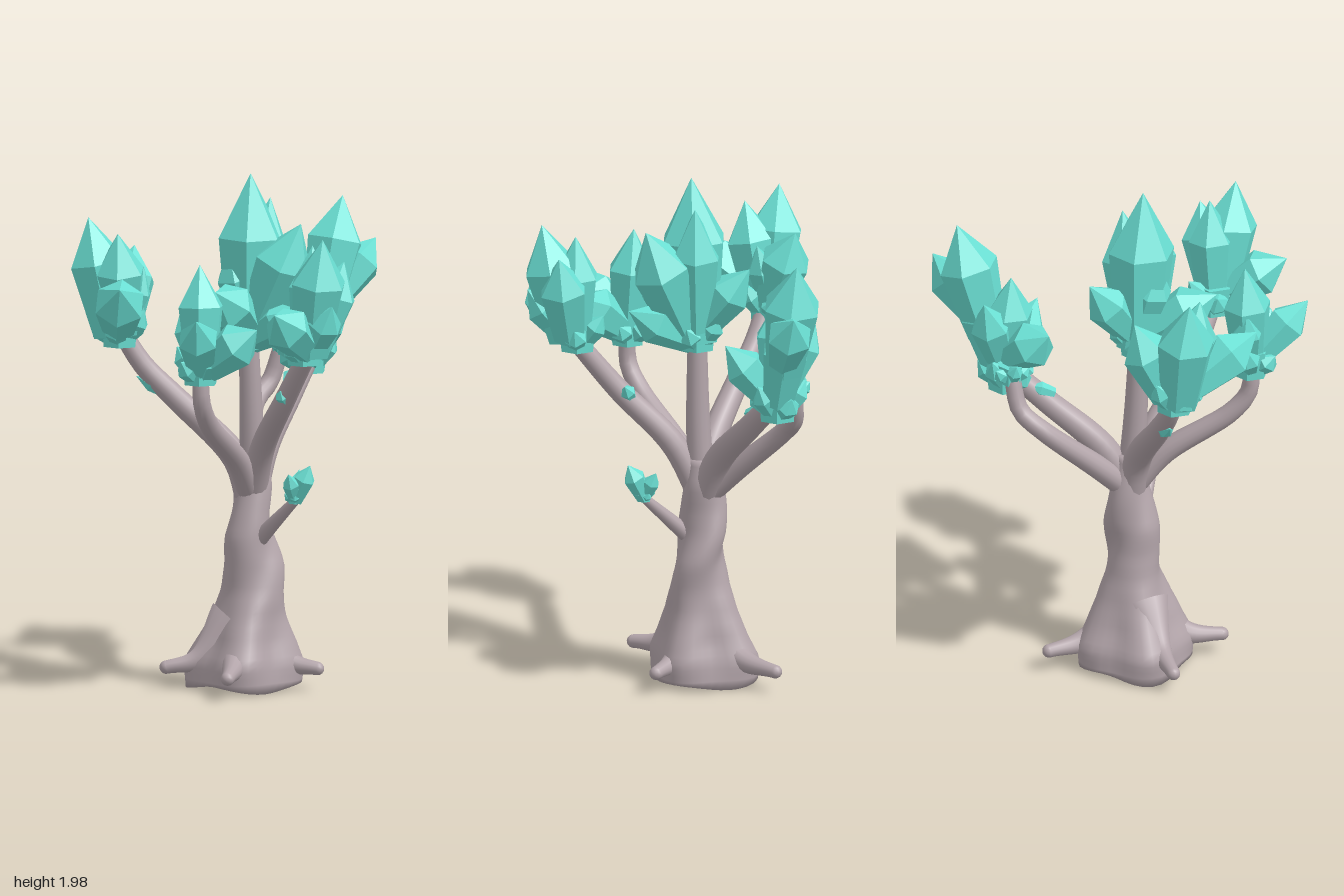
import * as THREE from 'three';
import { mergeVertices } from 'three/addons/utils/BufferGeometryUtils.js';

const V = (p) => new THREE.Vector3(...p);

export function createModel() {
  const tree = new THREE.Group();
  tree.name = 'crystalTree';
  const bark = new THREE.MeshStandardMaterial({ color: 0xb3a5aa });
  bark.name = 'bark';
  const gem = new THREE.MeshStandardMaterial({ color: 0x6adfd3, flatShading: true });
  gem.name = 'turquoiseCrystal';

  const add = (parent, geometry, material, name) => {
    const mesh = new THREE.Mesh(geometry, material);
    mesh.name = name;
    parent.add(mesh);
    return mesh;
  };

  // Round limb along a smooth path, with a rounded end; a higher power flares the start
  function limb(name, points, r0, r1, power = 1) {
    const curve = new THREE.CatmullRomCurve3(points.map(V));
    const steps = 18, sides = 14;
    const geo = new THREE.TubeGeometry(curve, steps, 1, sides);
    const pos = geo.attributes.position, v = new THREE.Vector3();
    for (let i = 0; i <= steps; i++) {
      const c = curve.getPointAt(i / steps);
      const r = r1 + (r0 - r1) * (1 - i / steps) ** power;
      for (let j = 0; j <= sides; j++) {
        const k = i * (sides + 1) + j;
        v.fromBufferAttribute(pos, k).sub(c).multiplyScalar(r).add(c);
        pos.setXYZ(k, v.x, v.y, v.z);
      }
    }
    add(tree, geo, bark, name);
    add(tree, new THREE.SphereGeometry(r1, 12, 8), bark, name + 'End').position.copy(curve.getPoint(1));
  }

  // Six-sided crystal: narrower foot, wide shoulder, pointed tip
  function crystal(parent, base, tip, r, name = 'crystal') {
    const a = V(base), dir = V(tip).sub(a), len = dir.length();
    const profile = [[0, 0], [0.68 * r, 0], [r, 0.62 * len], [0, len]];
    const geo = new THREE.LatheGeometry(profile.map((p) => new THREE.Vector2(...p)), 6);
    const mesh = add(parent, geo, gem, name);
    mesh.position.copy(a);
    mesh.quaternion.setFromUnitVectors(new THREE.Vector3(0, 1, 0), dir.normalize());
  }

  // Crystal cluster: a faceted collar, short stubs around it and long crystals
  function cluster(name, [x, y, z], size, crystals) {
    const group = new THREE.Group();
    group.name = name;
    tree.add(group);
    add(group, new THREE.CylinderGeometry(size, size * 0.9, size * 1.5, 6), gem, 'collar')
      .position.set(x, y + size * 0.55, z);
    for (let i = 0; i < 5; i++) {
      const a = i * 1.257 + x * 9, c = Math.cos(a) * size, s = Math.sin(a) * size;
      const lift = i % 2 ? 1.7 : 1.1;
      crystal(group, [x + c * 0.3, y + size * 0.1, z + s * 0.3],
        [x + c * 1.4, y + size * lift, z + s * 1.4], size * 0.6, 'stub');
    }
    for (const [base, tip, r] of crystals) crystal(group, base, tip, r);
  }

  // Trunk: twisted lobed section that spreads into a four-cornered foot
  // keys: y, centre x, centre z, radius, corner amount, oval amount
  const keys = [
    [0.03, 0.1, 0.01, 0.205, 0.08, 0], [0.12, 0.1, 0.01, 0.205, 0.13, 0],
    [0.2, 0.11, 0.01, 0.17, 0.13, 0], [0.3, 0.12, 0.01, 0.135, 0.07, 0.03],
    [0.4, 0.132, 0.01, 0.11, 0.02, 0.08], [0.5, 0.137, 0.01, 0.101, 0, 0.13],
    [0.6, 0.122, 0.006, 0.094, 0, 0.15], [0.7, 0.125, 0, 0.08, 0, 0.13],
    [0.8, 0.135, -0.008, 0.07, 0, 0.08], [0.9, 0.13, 0, 0.055, 0, 0],
  ];
  const sample = (y) => {
    let i = 0;
    while (i < keys.length - 2 && y > keys[i + 1][0]) i++;
    const t = (y - keys[i][0]) / (keys[i + 1][0] - keys[i][0]);
    return keys[i].map((k, n) => THREE.MathUtils.lerp(k, keys[i + 1][n], t));
  };
  let trunk = new THREE.CylinderGeometry(1, 1, 1, 36, 36);
  const tp = trunk.attributes.position;
  for (let i = 0; i < tp.count; i++) {
    const y = 0.03 + (tp.getY(i) + 0.5) * 0.87;
    const [, cx, cz, r, corner, oval] = sample(y);
    const a = Math.atan2(tp.getZ(i), tp.getX(i));
    const twist = a + 7 * (y - 0.45);
    const d = Math.hypot(tp.getX(i), tp.getZ(i)) * r
      * (1 + corner * Math.cos(4 * a) + oval * Math.cos(2 * twist) + oval * 0.3 * Math.cos(3 * twist));
    const sag = y < 0.04 ? 0.012 * Math.cos(3 * a) : 0;
    tp.setXYZ(i, cx + d * Math.cos(a), y + sag, cz + d * Math.sin(a));
  }
  trunk.deleteAttribute('uv');
  trunk.deleteAttribute('normal');
  trunk = mergeVertices(trunk, 1e-4);
  trunk.computeVertexNormals();
  add(tree, trunk, bark, 'trunk');

  // Roots flaring out of the foot
  const roots = [
    [[0.06, 0.28, 0.03], [-0.07, 0.13, 0.06], [-0.19, 0.1, 0.07]],
    [[0.14, 0.21, 0.02], [0.28, 0.12, 0.04], [0.385, 0.1, 0.05]],
    [[0.1, 0.21, 0.04], [0.08, 0.12, 0.21], [0.07, 0.1, 0.345]],
    [[0.12, 0.21, -0.02], [0.13, 0.12, -0.19], [0.13, 0.1, -0.325]],
  ];
  for (const path of roots) limb('root', path, 0.1, 0.026, 1.6);

  // Branches
  limb('rightBranch', [[0.13, 0.72, 0], [0.07, 0.9, 0.01], [-0.16, 1.13, 0.02], [-0.28, 1.25, 0.02], [-0.36, 1.37, 0.02]], 0.058, 0.036);
  limb('centreBranch', [[0.135, 0.75, 0], [0.13, 1.05, 0.02], [0.12, 1.4, 0.03]], 0.054, 0.036);
  limb('frontBranch', [[0.13, 0.75, 0], [0.09, 0.9, 0.12], [0, 1.08, 0.36], [-0.02, 1.17, 0.425], [-0.025, 1.29, 0.43]], 0.05, 0.031);
  limb('frontLeftBranch', [[0.13, 0.74, 0], [0.18, 0.95, 0.1], [0.28, 1.16, 0.28], [0.38, 1.36, 0.41]], 0.053, 0.036);
  limb('backLeftBranch', [[0.13, 0.74, 0], [0.17, 0.92, -0.1], [0.25, 1.1, -0.29], [0.31, 1.23, -0.43]], 0.058, 0.041);
  limb('backBranch', [[0.13, 0.74, 0], [0.11, 0.87, -0.14], [0.11, 1.06, -0.36], [0.16, 1.13, -0.43], [0.2, 1.26, -0.45]], 0.049, 0.031);
  limb('twig', [[0.15, 0.58, 0.04], [0.22, 0.66, 0.09], [0.31, 0.76, 0.15]], 0.034, 0.018);

  // Crystal clusters at the branch ends
  cluster('rightCrystals', [-0.37, 1.34, 0.02], 0.077, [
    [[-0.4, 1.37, 0.03], [-0.49, 1.82, 0.04], 0.112],
    [[-0.36, 1.38, 0.04], [-0.37, 1.77, 0.12], 0.1],
    [[-0.37, 1.41, 0.07], [-0.34, 1.59, 0.355], 0.1],
    [[-0.36, 1.38, 0], [-0.33, 1.69, -0.13], 0.1],
    [[-0.36, 1.38, 0], [-0.28, 1.63, 0.01], 0.06],
  ]);
  cluster('centreCrystals', [0.12, 1.34, 0.03], 0.077, [
    [[0.12, 1.36, 0.03], [0.13, 2.0, 0.05], 0.13],
    [[0.14, 1.4, 0.02], [0.2, 1.9, -0.01], 0.1],
    [[0.15, 1.41, 0.06], [0.33, 1.82, 0.13], 0.12],
    [[0.12, 1.4, 0.06], [0.02, 1.58, 0.31], 0.1],
    [[0.12, 1.4, 0.02], [0.08, 1.66, -0.18], 0.085],
    [[0.13, 1.36, 0.04], [0.34, 1.5, 0.2], 0.082],
    [[0.12, 1.42, 0.03], [0.05, 1.72, 0.09], 0.08],
  ]);
  cluster('frontCrystals', [-0.025, 1.26, 0.43], 0.073, [
    [[-0.02, 1.28, 0.43], [-0.03, 1.7, 0.405], 0.092],
    [[-0.02, 1.31, 0.45], [-0.02, 1.52, 0.66], 0.08],
    [[0, 1.31, 0.44], [0.2, 1.47, 0.52], 0.09],
    [[-0.03, 1.3, 0.42], [-0.1, 1.54, 0.39], 0.06],
  ]);
  cluster('frontLeftCrystals', [0.37, 1.34, 0.41], 0.077, [
    [[0.4, 1.37, 0.44], [0.45, 1.82, 0.52], 0.11],
    [[0.41, 1.38, 0.42], [0.52, 1.72, 0.4], 0.095],
    [[0.38, 1.36, 0.41], [0.4, 1.78, 0.4], 0.09],
    [[0.38, 1.39, 0.45], [0.28, 1.55, 0.67], 0.09],
    [[0.4, 1.38, 0.44], [0.49, 1.57, 0.56], 0.07],
  ]);
  cluster('backLeftCrystals', [0.3, 1.18, -0.44], 0.08, [
    [[0.35, 1.38, -0.5], [0.42, 1.82, -0.6], 0.115],
    [[0.33, 1.24, -0.46], [0.37, 1.59, -0.54], 0.095],
    [[0.39, 1.43, -0.52], [0.54, 1.65, -0.66], 0.088],
    [[0.3, 1.28, -0.46], [0.22, 1.57, -0.555], 0.08],
    [[0.32, 1.24, -0.43], [0.42, 1.46, -0.28], 0.08],
    [[0.3, 1.25, -0.44], [0.275, 1.64, -0.43], 0.092],
    [[0.27, 1.31, -0.44], [0.08, 1.47, -0.34], 0.09],
  ]);
  cluster('backCrystals', [0.21, 1.24, -0.45], 0.05, []);
  cluster('twigCrystals', [0.31, 0.755, 0.15], 0.03, [
    [[0.31, 0.76, 0.15], [0.37, 0.9, 0.185], 0.043],
    [[0.31, 0.76, 0.15], [0.32, 0.87, 0.09], 0.032],
    [[0.31, 0.76, 0.15], [0.29, 0.87, 0.22], 0.034],
  ]);

  // Little crystals growing from the bark
  const buds = [[-0.16, 1.13, 0.02, -0.31, 1.21, 0.02], [0.25, 1.12, 0.24, 0.32, 1.19, 0.23],
    [0.24, 1.14, -0.27, 0.25, 1.18, -0.36], [0.29, 1.16, 0.3, 0.27, 1.21, 0.34]];
  for (const b of buds) crystal(tree, b.slice(0, 3), b.slice(3), 0.03, 'budCrystal');

  return tree;
}
